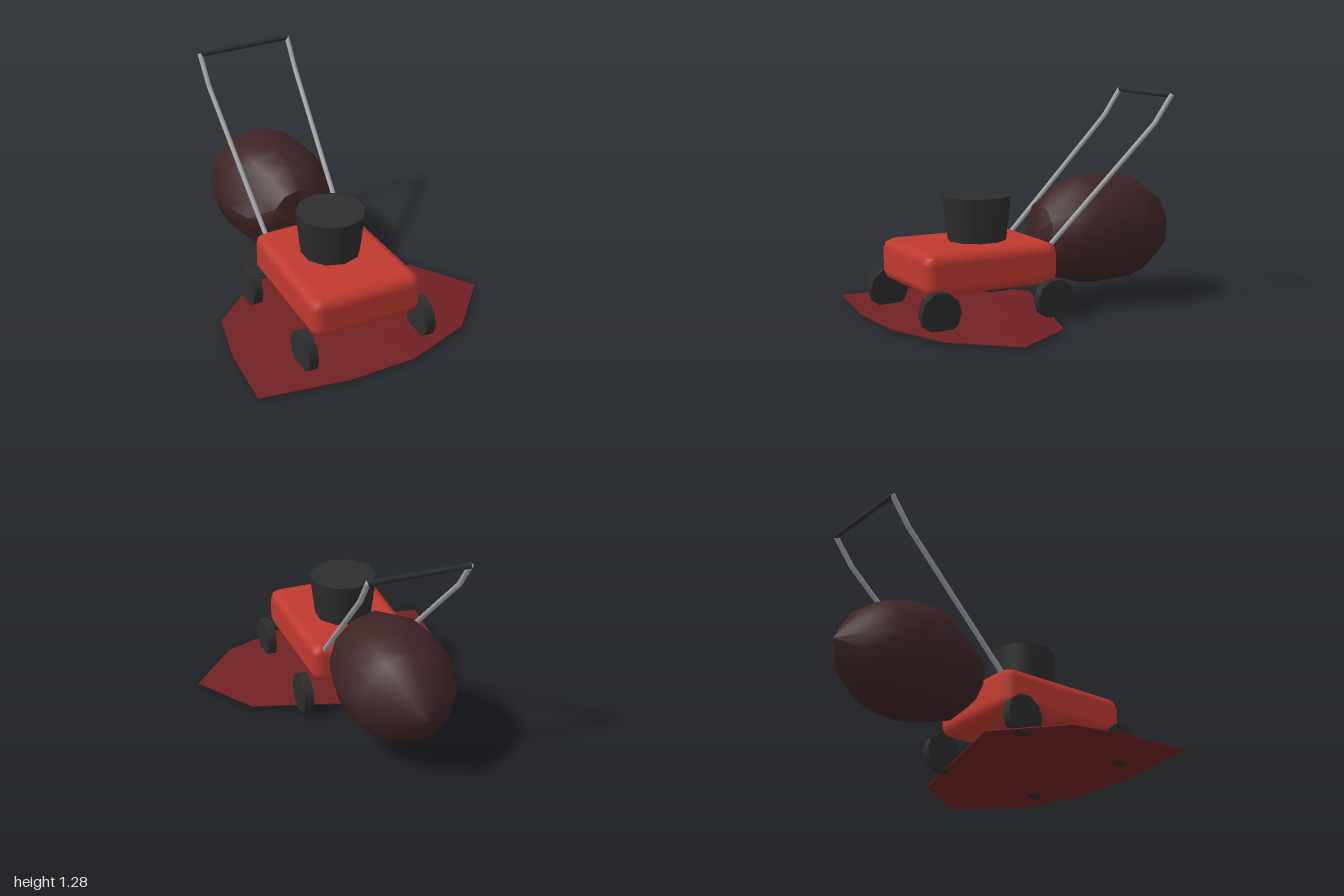
import * as THREE from 'three';
import { toCreasedNormals } from 'three/addons/utils/BufferGeometryUtils.js';
import { RoundedBoxGeometry } from 'three/addons/geometries/RoundedBoxGeometry.js';
import { ConvexGeometry } from 'three/addons/geometries/ConvexGeometry.js';

const CX = -0.09; // centre line of the mower

function material(name, color) {
  const m = new THREE.MeshStandardMaterial({ color });
  m.name = name;
  return m;
}

export function createModel() {
  const model = new THREE.Group();
  model.name = 'lawnMower';

  const red = material('red paint', 0xc0392f);
  const black = material('black', 0x2d2d2d);
  const silver = material('silver metal', 0x9fa2a6);
  const maroon = material('dark maroon bag', 0x3e2425);
  const darkRed = material('dark red ground patch', 0x702123);

  function add(name, geometry, mat, x = 0, y = 0, z = 0) {
    const mesh = new THREE.Mesh(geometry, mat);
    mesh.name = name;
    mesh.position.set(x, y, z);
    model.add(mesh);
    return mesh;
  }

  // Straight round bar between two points
  function addBar(name, a, b, radius, mat) {
    const dir = b.clone().sub(a);
    const mesh = add(name, new THREE.CylinderGeometry(radius, radius, dir.length(), 8), mat);
    mesh.position.copy(a).add(b).multiplyScalar(0.5);
    mesh.quaternion.setFromUnitVectors(new THREE.Vector3(0, 1, 0), dir.normalize());
  }

  // Deck: bevelled box, slightly narrower at the back
  const deck = new RoundedBoxGeometry(0.69, 0.252, 0.862, 1, 0.066);
  const dp = deck.attributes.position;
  for (let i = 0; i < dp.count; i++) {
    dp.setX(i, dp.getX(i) * (0.97 + 0.07 * dp.getZ(i)));
  }
  add('deck', deck, red, CX, 0.315, 0.385);

  // Engine
  add('engine', new THREE.CylinderGeometry(0.205, 0.172, 0.29, 10), black, CX, 0.56, 0.338);

  // Wheels
  const wheelGeometry = new THREE.CylinderGeometry(0.122, 0.122, 0.058, 10).rotateZ(Math.PI / 2);
  for (const [end, z] of [['front', 0.753], ['rear', 0.022]]) {
    for (const [side, s] of [['Left', 1], ['Right', -1]]) {
      add(end + side + 'Wheel', wheelGeometry, black, CX + s * 0.375, 0.118, z);
    }
  }

  // Handle: two bent tubes joined by a grip
  for (const [side, s] of [['left', 1], ['right', -1]]) {
    const base = new THREE.Vector3(CX + s * 0.247, 0.395, 0.0);
    const bend = new THREE.Vector3(CX + s * 0.29, 1.1, -0.715);
    const top = new THREE.Vector3(CX + s * 0.293, 1.27, -0.835);
    addBar(side + 'HandleLower', base, bend, 0.0155, silver);
    addBar(side + 'HandleUpper', bend, top, 0.0155, silver);
  }
  addBar('grip', new THREE.Vector3(CX - 0.295, 1.265, -0.832),
    new THREE.Vector3(CX + 0.295, 1.265, -0.832), 0.0165, black);

  // Grass bag: turned shape lying along z
  const profile = [[0, -1], [0.195, -0.88], [0.295, -0.74], [0.332, -0.62], [0.34, -0.48],
    [0.33, -0.36], [0.285, -0.2], [0.18, -0.085], [0, -0.055]];
  const bag = new THREE.LatheGeometry(profile.map(([r, z]) => new THREE.Vector2(r, z)), 12);
  bag.rotateX(Math.PI / 2).translate(CX, 0.44, 0);
  // Flattened fold on its front right shoulder
  const fold = new THREE.Vector3(-0.717, 0.524, 0.461).normalize();
  const bp = bag.attributes.position;
  const v = new THREE.Vector3();
  for (let i = 0; i < bp.count; i++) {
    v.fromBufferAttribute(bp, i);
    const over = v.dot(fold) - 0.404;
    if (over > 0) v.addScaledVector(fold, -over);
    bp.setXYZ(i, v.x, v.y, v.z);
  }
  add('grassBag', toCreasedNormals(bag, 0.7), maroon);

  // Ground patch: thin lens with an irregular outline
  const outline = [[-0.36, -0.16], [0.58, 0.127], [0.82, 0.5], [0.52, 0.835], [0.115, 0.982],
    [-0.29, 0.995], [-0.826, 0.913], [-0.795, 0.5], [-0.715, 0.153]];
  const points = [];
  for (const [x, z] of outline) {
    points.push(new THREE.Vector3(x, 0.014, z), new THREE.Vector3(x, 0.019, z));
    const ix = -0.05 + (x + 0.05) * 0.5, iz = 0.45 + (z - 0.45) * 0.5;
    points.push(new THREE.Vector3(ix, 0.006, iz), new THREE.Vector3(ix, 0.026, iz));
  }
  add('groundPatch', new ConvexGeometry(points), darkRed);

  return model;
}
